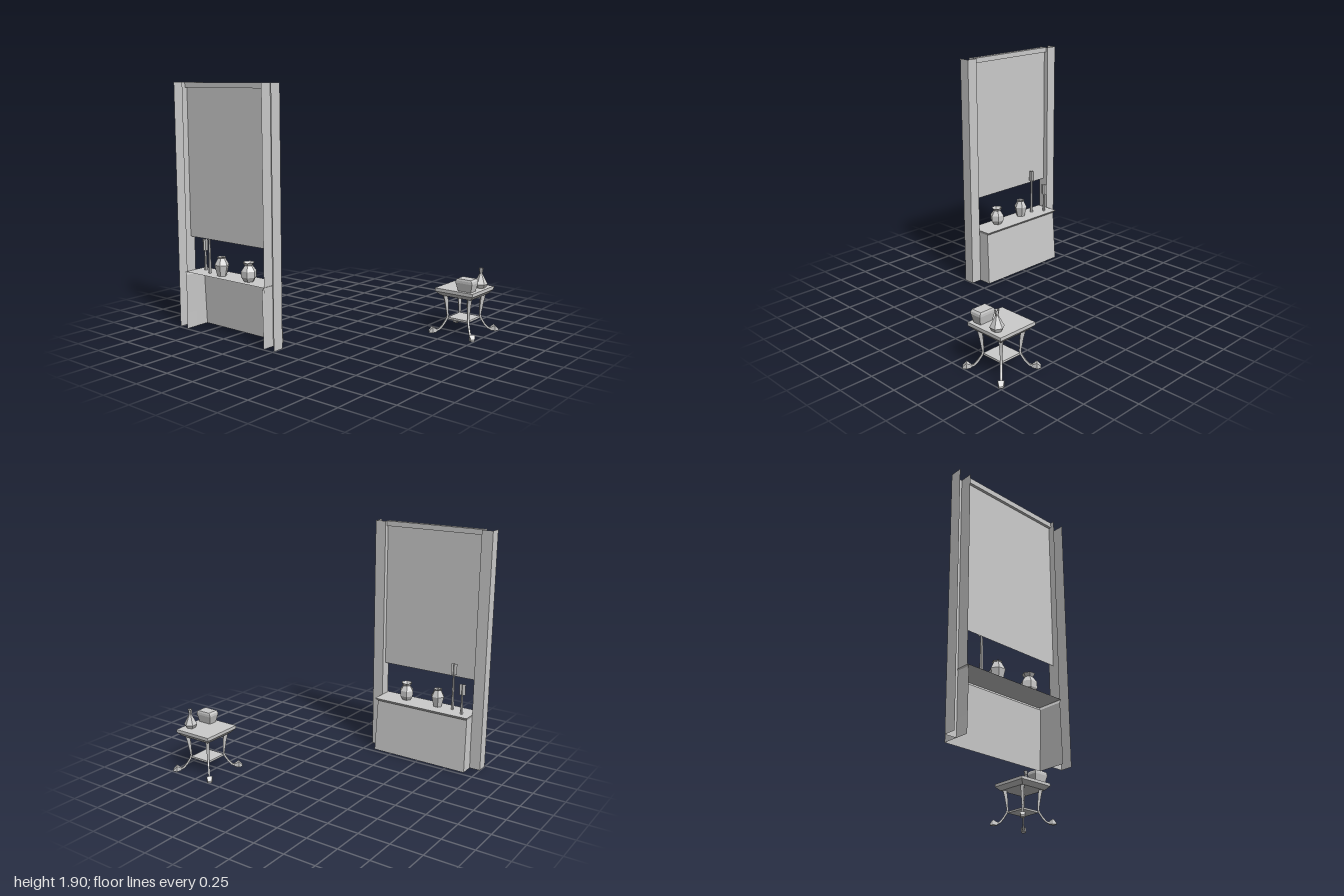
import * as THREE from 'three';

const grey = new THREE.MeshStandardMaterial({ color: 0xcccccc, flatShading: true, side: THREE.DoubleSide });
grey.name = 'plain grey';

// Skin a series of rings; optional closing of the loop and end caps
function loft(rings, { closed = true, capStart = false, capEnd = false } = {}) {
  const pos = [];
  const quad = (a, b, c, d) => pos.push(...a, ...b, ...c, ...a, ...c, ...d);
  const n = rings[0].length;
  for (let r = 0; r < rings.length - 1; r++) {
    for (let i = 0; i < (closed ? n : n - 1); i++) {
      const j = (i + 1) % n;
      quad(rings[r][i], rings[r][j], rings[r + 1][j], rings[r + 1][i]);
    }
  }
  if (capStart) quad(...[...rings[0]].reverse());
  if (capEnd) quad(...rings[rings.length - 1]);
  const g = new THREE.BufferGeometry();
  g.setAttribute('position', new THREE.Float32BufferAttribute(pos, 3));
  g.computeVertexNormals();
  return g;
}

// Horizontal rectangle, starting at the back of its front-facing side
const rect = (y, x0, x1, z0, z1) => [[x0, y, z1], [x1, y, z1], [x1, y, z0], [x0, y, z0]];
const centred = (y, hx, hz) => rect(y, -hx, hx, -hz, hz);

function add(parent, name, geometry, x = 0, y = 0, z = 0) {
  const m = new THREE.Mesh(geometry, grey);
  m.name = name;
  m.position.set(x, y, z);
  parent.add(m);
  return m;
}

// Six-sided turned vessel from [radius, height] pairs
const turned = (points) =>
  new THREE.LatheGeometry(points.map(([r, y]) => new THREE.Vector2(r, y)), 6);

function createStand() {
  const stand = new THREE.Group();
  stand.name = 'screenStand';

  // Posts: channels open at the back and at both ends
  for (const [name, z0, z1] of [['frontPost', -0.09, 0], ['rearPost', -1, -0.91]]) {
    add(stand, name, loft([rect(0, -0.735, -0.645, z0, z1), rect(1.9, -0.735, -0.645, z0, z1)], { closed: false }));
  }
  // Top rail and thin hanging panel
  add(stand, 'topRail', new THREE.BoxGeometry(0.04, 0.04, 0.82), -0.685, 1.88, -0.5);
  add(stand, 'panel', new THREE.PlaneGeometry(0.82, 1.135).rotateY(Math.PI / 2), -0.685, 1.2925, -0.5);

  // Counter: flared skirt open at the back, with a bevelled top
  add(stand, 'counterBody', loft([
    rect(0, -0.745, -0.535, -0.912, -0.09),
    rect(0.43, -0.745, -0.56, -0.905, -0.1),
  ], { closed: false }));
  add(stand, 'counterTop', loft([
    rect(0.43, -0.745, -0.56, -0.905, -0.1),
    rect(0.455, -0.745, -0.535, -0.915, -0.087),
  ], { closed: false, capEnd: true }));

  // Vases
  add(stand, 'wideVase', turned([[0, 0], [0.036, 0], [0.058, 0.035], [0.058, 0.08], [0.03, 0.12], [0.046, 0.145]]),
    -0.663, 0.455, -0.31);
  add(stand, 'narrowVase', turned([[0, 0], [0.036, 0], [0.056, 0.085], [0.029, 0.137], [0.036, 0.145]]),
    -0.663, 0.455, -0.595);

  // Candles: slim sticks with crossed flame cards
  for (const [name, x, z, h] of [['tallCandle', -0.66, -0.73, 0.29], ['shortCandle', -0.607, -0.835, 0.155]]) {
    const candle = new THREE.Group();
    candle.name = name;
    candle.position.set(x, 0.455, z);
    add(candle, 'stick', new THREE.CylinderGeometry(0.008, 0.012, h, 6), 0, h / 2, 0);
    for (const turn of [0.2, 0.2 + Math.PI / 2]) {
      add(candle, 'flame', new THREE.PlaneGeometry(0.048, 0.09), 0, h + 0.045, 0).rotation.y = turn;
    }
    stand.add(candle);
  }
  return stand;
}

// Curved leg swept outwards: [radius, height, half thickness, half width]
function legGeometry() {
  const path = [
    [0.15, 0.3, 0.016, 0.016], [0.138, 0.235, 0.013, 0.013], [0.127, 0.13, 0.007, 0.007],
    [0.135, 0.1, 0.007, 0.007], [0.163, 0.055, 0.007, 0.007], [0.19, 0.024, 0.007, 0.007],
    [0.216, 0.014, 0.008, 0.008],
  ];
  const rings = path.map(([r, y, h, w], i) => {
    const a = path[Math.max(i - 1, 0)], b = path[Math.min(i + 1, path.length - 1)];
    const len = Math.hypot(b[0] - a[0], b[1] - a[1]);
    const tx = (b[0] - a[0]) / len, ty = (b[1] - a[1]) / len;
    return [[-1, -1], [1, -1], [1, 1], [-1, 1]].map(([u, v]) => [r - ty * h * u, y + tx * h * u, w * v]);
  });
  return loft(rings, { capStart: true });
}

// Wedge foot widening outwards: [radius, bottom, top, half width]
function footGeometry() {
  const rings = [[0.21, 0.002, 0.024, 0.008], [0.244, 0, 0.044, 0.022], [0.272, 0, 0.014, 0.014]]
    .map(([r, y0, y1, w]) => [[r, y0, -w], [r, y1, -w], [r, y1, w], [r, y0, w]]);
  return loft(rings, { capStart: true, capEnd: true });
}

function createTable() {
  const table = new THREE.Group();
  table.name = 'sideTable';
  table.position.set(0.546, 0, 0.8);

  add(table, 'tableTop', loft([
    centred(0.291, 0.13, 0.13), centred(0.325, 0.163, 0.163), centred(0.35, 0.163, 0.163),
  ], { capStart: true, capEnd: true }));
  add(table, 'shelf', new THREE.BoxGeometry(0.18, 0.015, 0.18), 0, 0.108, 0);

  const leg = legGeometry(), foot = footGeometry();
  for (let i = 0; i < 4; i++) {
    const g = new THREE.Group();
    g.name = 'leg';
    g.rotation.y = Math.PI / 4 + i * Math.PI / 2;
    add(g, 'curvedLeg', leg);
    add(g, 'foot', foot);
    table.add(g);
  }

  // Small chest with a bevelled lid
  add(table, 'chest', loft([
    centred(0, 0.034, 0.055), centred(0.065, 0.047, 0.07), centred(0.083, 0.047, 0.068), centred(0.097, 0.043, 0.058),
  ], { capStart: true, capEnd: true }), -0.1, 0.349, 0.077);

  // Bottle with a long neck
  add(table, 'bottle', turned([[0, 0], [0.036, 0], [0.053, 0.03], [0.011, 0.11], [0.018, 0.152]]),
    0.066, 0.349, 0.103).rotation.y = Math.PI / 6;
  return table;
}

export function createModel() {
  const model = new THREE.Group();
  model.name = 'standAndTable';
  model.add(createStand(), createTable());
  return model;
}
